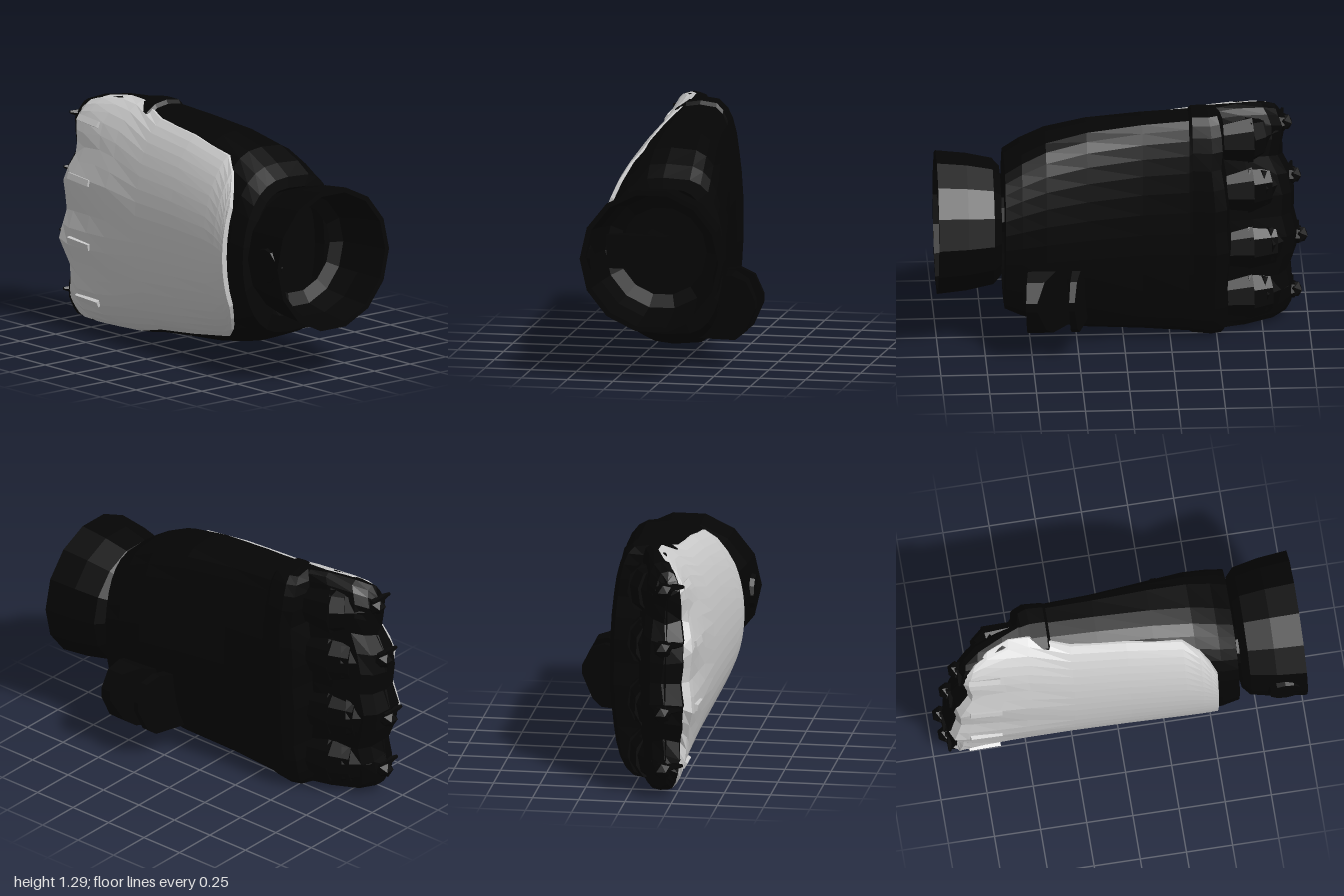
import * as THREE from 'three';

const black = new THREE.MeshStandardMaterial({ color: 0x050505, flatShading: true, side: THREE.DoubleSide });
const grey = new THREE.MeshStandardMaterial({ color: 0xcccccc, flatShading: true, side: THREE.DoubleSide });

const KNUCKLES = [0.16, 0.48, 0.83, 1.14];
// scalloped knuckle edge: [y, x]
const EDGE = [[0, -0.82], [0.05, -0.87], [0.16, -0.9], [0.31, -0.87], [0.48, -0.93], [0.65, -0.89],
  [0.82, -0.9], [0.98, -0.82], [1.13, -0.85], [1.24, -0.81], [1.29, -0.77]];
// hand cross-sections: x, yMin, yMax, zBack, zMid, zFront
const SECTIONS = [
  [-0.88, 0.04, 1.24, 0.12, 0.21, 0.31],
  [-0.83, 0.015, 1.27, 0.07, 0.16, 0.33],
  [-0.68, 0.00, 1.29, 0.03, 0.10, 0.335],
  [-0.56, 0.00, 1.29, 0.01, 0.06, 0.335],
  [-0.54, 0.00, 1.29, -0.13, 0.06, 0.335],
  [-0.48, 0.00, 1.29, -0.16, 0.05, 0.34],
  [-0.37, 0.01, 1.29, -0.15, 0.05, 0.34],
  [-0.35, 0.02, 1.27, -0.15, 0.05, 0.34],
  [-0.10, 0.045, 1.255, -0.17, 0.05, 0.35],
  [0.20, 0.07, 1.225, -0.22, 0.05, 0.365],
  [0.42, 0.11, 1.175, -0.26, 0.05, 0.38],
  [0.55, 0.155, 1.11, -0.275, 0.05, 0.385],
  [0.64, 0.20, 1.05, -0.28, 0.05, 0.37]];

function table(rows, t, col = 1) {
  if (t <= rows[0][0]) return rows[0][col];
  for (let i = 1; i < rows.length; i++) {
    const a = rows[i - 1], b = rows[i];
    if (t <= b[0]) return a[col] + (b[col] - a[col]) * (t - a[0]) / (b[0] - a[0]);
  }
  return rows[rows.length - 1][col];
}

// point on a hand section; angle 0 faces the front, PI the back
function sectionPoint([x, y0, y1, back, mid, front], a, offset = 0) {
  const c = Math.cos(a), h = (y1 - y0) / 2;
  const y = (y0 + y1) / 2 + h * Math.sin(a);
  const w = THREE.MathUtils.clamp((-0.35 - x) / 0.45, 0, 1);
  let z = c > 0 ? mid + (front + offset - mid) * Math.pow(c, 0.8) : mid - (mid - back) * Math.pow(-c, 0.5);
  // valleys between the knuckles
  if (c > 0 && y > KNUCKLES[0] && y < KNUCKLES[3])
    z -= w * c * 0.17 * Math.min(...KNUCKLES.map(k => Math.abs(k - y)));
  return [x + w * (table(EDGE, y) + 0.87), y, z];
}

// skin a grid of points, rows running along x
function skin(rows) {
  const n = rows[0].length, index = [];
  for (let i = 0; i < rows.length - 1; i++)
    for (let j = 0; j < n - 1; j++) {
      const a = i * n + j, b = a + n;
      index.push(a, b, a + 1, a + 1, b, b + 1);
    }
  const g = new THREE.BufferGeometry();
  g.setAttribute('position', new THREE.Float32BufferAttribute(rows.flat(2), 3));
  g.setIndex(index);
  g.computeVertexNormals();
  return g;
}

function add(parent, name, geometry, material = black, pos = [0, 0, 0], rot = [0, 0, 0]) {
  const m = new THREE.Mesh(geometry, material);
  m.name = name;
  m.position.set(...pos);
  m.rotation.set(...rot);
  parent.add(m);
  return m;
}

// tapered bar between two points
function bar(parent, name, from, to, r0, r1, sides = 6) {
  const a = new THREE.Vector3(...from), b = new THREE.Vector3(...to), d = b.clone().sub(a);
  const m = add(parent, name, new THREE.CylinderGeometry(r1, r0, d.length(), sides));
  m.position.copy(a).addScaledVector(d, 0.5);
  m.quaternion.setFromUnitVectors(new THREE.Vector3(0, 1, 0), d.normalize());
}

function handBody() {
  const stations = [[-0.9, 0.08, 1.2, 0.21, 0.21, 0.21], ...SECTIONS,
    [0.645, 0.29, 0.99, -0.2, 0.05, 0.3], [0.59, 0.32, 0.96, -0.18, 0.05, 0.27], [0.59, 0.63, 0.63, 0.05, 0.05, 0.05]];
  return skin(stations.map(s => Array.from({ length: 33 }, (_, j) => sectionPoint(s, j / 32 * Math.PI * 2))));
}

function sectionAt(x) {
  return [x, ...[1, 2, 3, 4, 5].map(c => table(SECTIONS, x, c))];
}

function backPlate() {
  // x and the half angle the plate wraps round the hand
  const wrap = [[-0.87, 1.15], [-0.84, 1.32], [-0.78, 1.5], [-0.64, 1.5], [-0.5, 1.42], [-0.25, 1.22],
    [0.05, 1.18], [0.35, 1.14], [0.44, 0.97], [0.49, 0.78], [0.52, 0.6], [0.525, 0.57]];
  return skin(wrap.map(([x, half], i) => Array.from({ length: 23 }, (_, j) => {
    const rim = i === 0 || i === wrap.length - 1 || j === 0 || j === 22;
    const t = THREE.MathUtils.clamp((j - 1) / 20, 0, 1) * 2 - 1;
    return sectionPoint(sectionAt(x), t * half, rim ? -0.005 : 0.028);
  })));
}

// thumb slab: side outline spread between two slanted faces
function thumbSlab(xBase, xTip) {
  const outline = [[0.12, 0.16], [0.32, 0.16], [0.37, 0.2], [0.43, 0.33], [0.43, 0.38], [0.38, 0.48], [0.3, 0.51], [0.15, 0.48]];
  const g = new THREE.ExtrudeGeometry(new THREE.Shape(outline.map(p => new THREE.Vector2(...p))),
    { depth: 1, bevelEnabled: false });
  const p = g.attributes.position, mix = THREE.MathUtils.lerp;
  for (let i = 0; i < p.count; i++) {
    const depth = p.getZ(i), out = p.getX(i), t = (out - 0.26) / 0.17;
    p.setXYZ(i, mix(mix(xBase[0], xTip[0], t), mix(xBase[1], xTip[1], t), depth), p.getY(i), -out);
  }
  g.computeVertexNormals();
  return g;
}

export function createModel() {
  const model = new THREE.Group();
  model.name = 'armouredHand';
  add(model, 'handBody', handBody());
  add(model, 'backPlate', backPlate(), grey);

  KNUCKLES.forEach((y, i) => {
    // broad finger curled against the palm
    const e = table(EDGE, y), finger = new THREE.Group();
    finger.name = 'finger' + (i + 1);
    finger.position.y = [0.19, 0.48, 0.81, 1.1][i];
    finger.scale.y = 1.5;
    model.add(finger);
    bar(finger, 'knuckleSegment', [e + 0.05, 0, 0.18], [e + 0.18, 0, 0.08], 0.07, 0.09, 8);
    bar(finger, 'middleSegment', [e + 0.12, 0, 0.1], [-0.66, 0, 0.055], 0.08, 0.09, 8);
    bar(finger, 'fingertip', [-0.69, 0, 0.055], [-0.53, 0, 0.03], 0.09, 0.07, 8);

    // knuckle spur
    const spur = new THREE.Group();
    spur.name = 'knuckleSpur' + (i + 1);
    spur.position.set(e, y, 0.19);
    model.add(spur);
    bar(spur, 'spurBase', [0.05, 0, 0.01], [-0.03, 0, 0], 0.06, 0.045);
    add(spur, 'spurHead', new THREE.IcosahedronGeometry(0.048, 0), black, [-0.025, 0, 0]);
    bar(spur, 'spurClaw', [0, 0.015, 0.02], [-0.02, 0.03, 0.11], 0.03, 0.008, 5);

    // raised vent on the plate behind the knuckle
    const s = sectionAt(-0.72), h = (s[2] - s[1]) / 2, sine = (y - (s[1] + s[2]) / 2) / h;
    const p = sectionPoint(s, Math.asin(sine), 0.028);
    add(model, 'plateRidge', new THREE.BoxGeometry(0.17, 0.035, 0.03), grey,
      [-0.73, y, p[2] - 0.005], [-0.7 * sine, 0, -0.08]);
  });

  // thumb: thin inner and thick outer slab
  add(model, 'thumbInner', thumbSlab([0.23, 0.28], [0.28, 0.31]));
  add(model, 'thumbOuter', thumbSlab([0.34, 0.52], [0.48, 0.54]));

  // wrist joint and open cuff
  const turn = [0, 0, -Math.PI / 2];
  bar(model, 'wristJoint', [0.56, 0.66, 0.12], [0.72, 0.66, 0.12], 0.1, 0.1, 8);
  add(model, 'wristBlock', new THREE.BoxGeometry(0.08, 0.18, 0.33), black, [0.72, 0.66, 0.17]);
  const profile = [[0.24, 0.69], [0.3, 0.66], [0.345, 0.7], [0.375, 0.84], [0.392, 1], [0.365, 1], [0.34, 0.84], [0.31, 0.72], [0.24, 0.69]];
  add(model, 'wristCuff', new THREE.LatheGeometry(profile.map(p => new THREE.Vector2(...p)), 14), black, [0, 0.66, 0.04], turn);
  add(model, 'cuffBoss', new THREE.CylinderGeometry(0.09, 0.1, 0.04, 12), black, [0.88, 0.66, 0.4], [Math.PI / 2, 0, 0]);
  return model;
}
